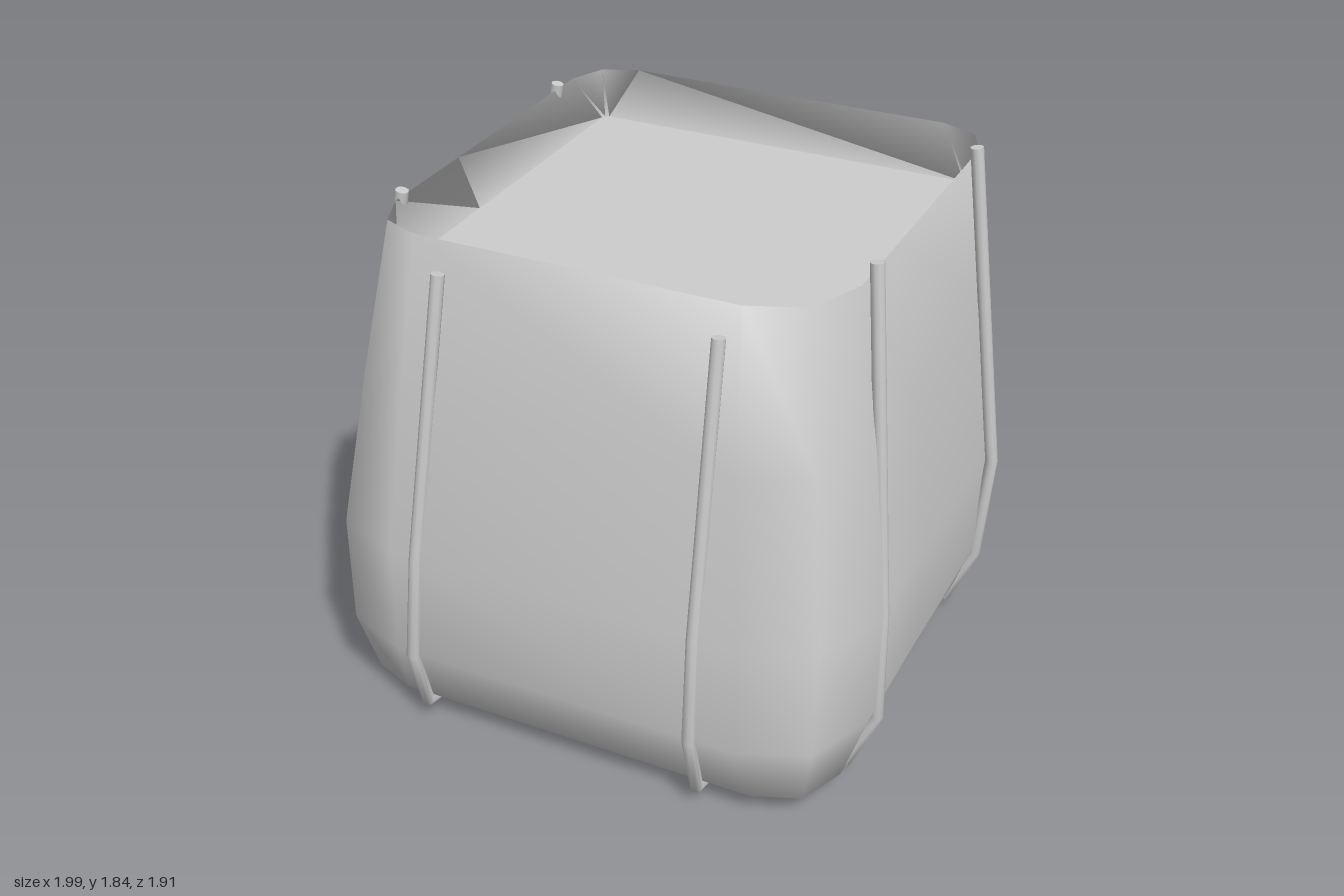
import * as THREE from 'three';

const grey = new THREE.MeshStandardMaterial({ color: 0xcccccc, side: THREE.DoubleSide });
const SIDES = 14;

// Square ring with rounded corners; cf is the front left corner's cut.
// The middle of each side edge arches up near the ground.
function ring([y, xl, xr, zb, zf, c, cf = c]) {
  const lift = y < 0.2 ? 0.04 : 0;
  const corner = (x, z, k) => {
    const sx = Math.sign(x), sz = Math.sign(z);
    return [
      [x, y, z - sz * k],
      [x - sx * k * 0.3, y, z - sz * k * 0.28],
      [x - sx * k, y, z],
    ];
  };
  return [
    ...corner(xr, zf, cf).reverse(),
    [xr, y + lift, 0.15],
    ...corner(xr, zb, c),
    ...corner(xl, zb, c).reverse(),
    [xl, y + lift, 0.15],
    ...corner(xl, zf, c),
  ];
}

// Smooth skin joining rings in order, closed underneath by a fan
function skin(name, levels, bottomCentre) {
  const rings = levels.map(ring), index = [];
  const points = rings.flat();
  for (let i = 0; i < rings.length - 1; i++) {
    for (let j = 0; j < SIDES; j++) {
      const a = i * SIDES + j, b = i * SIDES + (j + 1) % SIDES;
      index.push(a, b, a + SIDES, b, b + SIDES, a + SIDES);
    }
  }
  const centre = points.push(bottomCentre) - 1;
  for (let j = 0; j < SIDES; j++) index.push(centre, (j + 1) % SIDES, j);
  return build(name, points, index);
}

function build(name, points, index) {
  const geo = new THREE.BufferGeometry();
  geo.setAttribute('position', new THREE.Float32BufferAttribute(points.flat(), 3));
  geo.setIndex(index);
  geo.computeVertexNormals();
  const mesh = new THREE.Mesh(geo, grey);
  mesh.name = name;
  return mesh;
}

// Path that keeps its bends crisp: one tube section per point
class BentPath extends THREE.Curve {
  constructor(points) {
    super();
    this.points = points;
  }
  getPoint(t, target = new THREE.Vector3()) {
    return target.copy(this.points[Math.round(t * (this.points.length - 1))]);
  }
  getPointAt(t, target) {
    return this.getPoint(t, target);
  }
  getTangentAt(t, target = new THREE.Vector3()) {
    const p = this.points, i = Math.round(t * (p.length - 1));
    target.set(0, 0, 0);
    if (i > 0) target.add(p[i].clone().sub(p[i - 1]).normalize());
    if (i < p.length - 1) target.add(p[i + 1].clone().sub(p[i]).normalize());
    return target.normalize();
  }
}

// Cord running under the body and up two sides, with closed ends
function cord(name, coords) {
  const radius = 0.022;
  const path = new BentPath(coords.map(p => new THREE.Vector3(...p)));
  const group = new THREE.Group();
  group.name = name;
  group.add(new THREE.Mesh(new THREE.TubeGeometry(path, coords.length - 1, radius, 10), grey));
  for (const t of [0, 1]) {
    const cap = new THREE.Mesh(new THREE.CircleGeometry(radius, 10), grey);
    cap.position.copy(path.getPoint(t));
    const out = path.getTangentAt(t).multiplyScalar(t ? 1 : -1);
    cap.quaternion.setFromUnitVectors(new THREE.Vector3(0, 0, 1), out);
    group.add(cap);
  }
  return group;
}

export function createModel() {
  const model = new THREE.Group();
  model.name = 'sack';

  // Levels: y, right x, left x, back z, front z, corner cut, front left corner cut.
  // The last one turns the rim inwards as a soft lip.
  const floor = [1.59, -0.67, 0.735, -0.75, 0.665, 0.02, 0.16];
  model.add(skin('body', [
    [0.04, -0.66, 0.74, -0.66, 0.66, 0.1],
    [0.09, -0.85, 0.87, -0.84, 0.85, 0.22],
    [0.32, -0.93, 0.945, -0.935, 0.93, 0.33],
    [0.7, -0.94, 0.95, -0.91, 0.915, 0.33],
    [1.25, -0.84, 0.885, -0.865, 0.82, 0.26, 0.32],
    [1.76, -0.74, 0.79, -0.82, 0.71, 0.18, 0.26],
    floor,
  ], [0, 0.08, 0.15]));

  // Flat filling below the rim
  const edge = ring(floor);
  const fan = edge.flatMap((_, j) => [SIDES, j, (j + 1) % SIDES]);
  model.add(build('filling', [...edge, [0.02, 1.59, -0.04]], fan));

  // Cords running from side to side
  for (const [name, zRight, zLeft, zTop, bulgeRight, bulgeLeft] of [
    ['backSideCord', -0.53, -0.49, -0.48, -0.935, 0.975],
    ['frontSideCord', 0.49, 0.52, 0.44, -0.975, 0.94],
  ]) {
    model.add(cord(name, [
      [-0.74, 1.78, zRight],
      [-0.94, 0.68, zRight],
      [bulgeRight, 0.26, zRight],
      [-0.87, 0.08, zRight],
      [-0.65, 0.025, zRight],
      [0.7, 0.025, zLeft],
      [0.85, 0.06, zLeft],
      [0.945, 0.28, zLeft],
      [bulgeLeft, 0.68, zLeft],
      [0.83, 1.84, zTop],
    ]));
  }

  // Cords running from front to back
  for (const [name, xTop, xFront, xBack] of [
    ['rightLongCord', -0.45, -0.54, -0.5],
    ['leftLongCord', 0.48, 0.47, 0.52],
  ]) {
    model.add(cord(name, [
      [xTop, 1.67, 0.76],
      [xTop + (xFront - xTop) * 0.72, 0.7, 0.91],
      [xFront, 0.32, 0.935],
      [xFront, 0.08, 0.87],
      [xFront, 0.025, 0.65],
      [xBack, 0.025, -0.6],
      [xBack, 0.07, -0.83],
      [xBack, 0.32, -0.935],
      [xBack, 0.7, -0.915],
      [xBack, 1.67, -0.83],
    ]));
  }
  return model;
}
